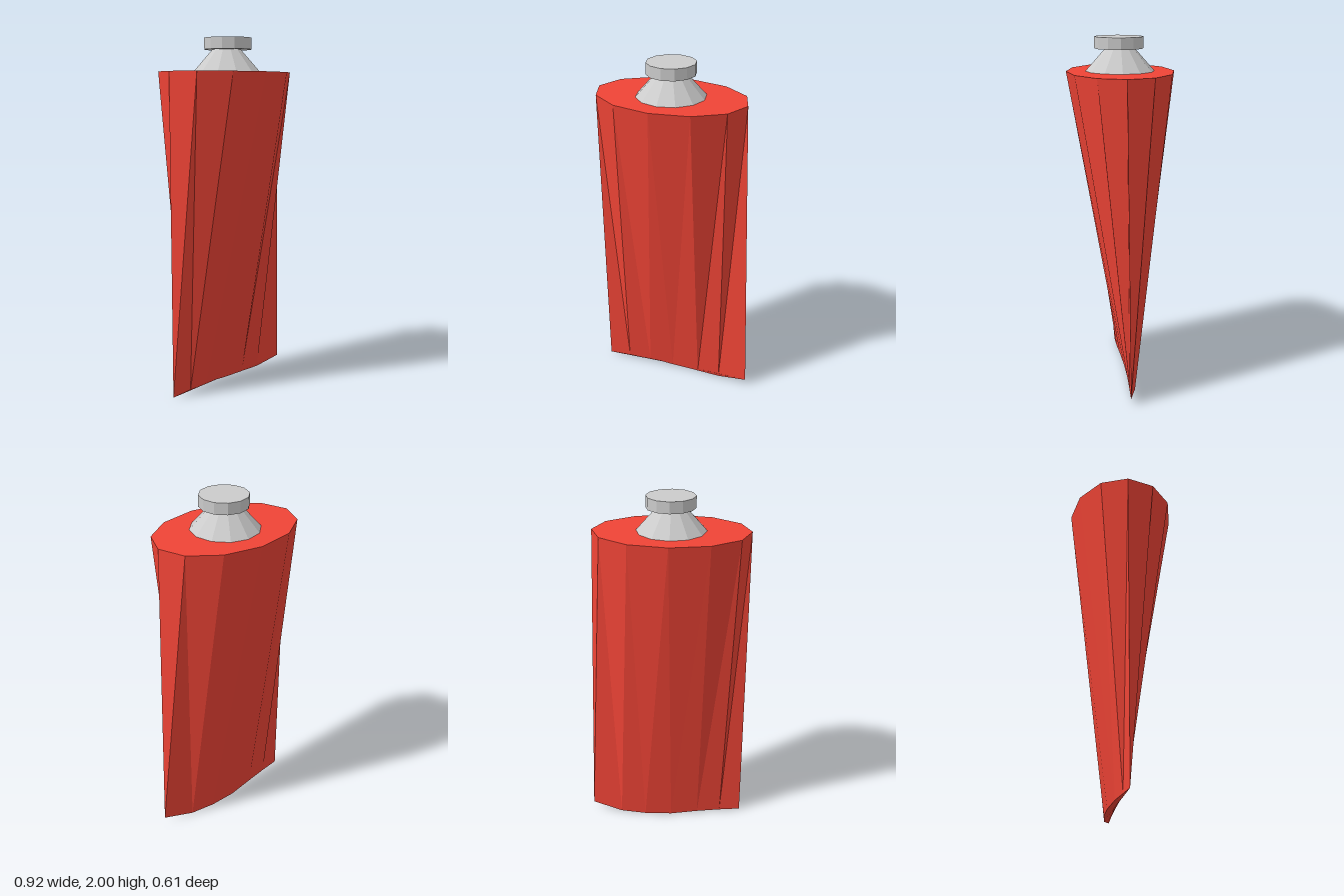
import * as THREE from 'three';

const CX = -0.025; // axis of the tube
const TOP = 1.81; // height of the shoulder

// Closed flat-faced skin between two rings of points (rings run from +x towards +z)
function loft(bottom, top) {
  const pos = [];
  const tri = (...pts) => pts.forEach((p) => pos.push(p.x, p.y, p.z));
  const centre = (ring) => ring.reduce((s, p) => s.add(p), new THREE.Vector3()).divideScalar(ring.length);
  const cb = centre(bottom), ct = centre(top);
  top.forEach((t, i) => {
    const j = (i + 1) % top.length;
    tri(bottom[i], t, bottom[j]);
    tri(t, top[j], bottom[j]);
    tri(ct, top[j], t);
    tri(cb, bottom[i], bottom[j]);
  });
  const geometry = new THREE.BufferGeometry();
  geometry.setAttribute('position', new THREE.Float32BufferAttribute(pos, 3));
  geometry.computeVertexNormals();
  return geometry;
}

export function createModel() {
  const group = new THREE.Group();
  const red = new THREE.MeshStandardMaterial({ color: 0xf04436, flatShading: true, side: THREE.DoubleSide });
  const grey = new THREE.MeshStandardMaterial({ color: 0xcccccc, flatShading: true });

  const add = (name, geometry, material, x = 0, y = 0, z = 0) => {
    const mesh = new THREE.Mesh(geometry, material);
    mesh.name = name;
    mesh.position.set(x, y, z);
    group.add(mesh);
  };

  // Body: oval shoulder flattened into a thin, slightly wavy crimp
  const shoulder = Array.from({ length: 12 }, (_, i) => {
    const a = (i * Math.PI) / 6;
    return new THREE.Vector3(CX + 0.437 * Math.cos(a), TOP, 0.304 * Math.sin(a));
  });
  const crimp = [
    // front edge, from +x to -x
    [0.46, 0.035, -0.02], [0.28, 0.004, -0.03], [0.14, 0.004, -0.03], [-0.03, 0.006, -0.025],
    [-0.18, 0.022, -0.01], [-0.32, 0.014, 0], [-0.455, 0.003, 0.003],
    // back edge, returning
    [-0.33, 0.006, -0.018], [-0.19, 0.008, -0.045], [-0.03, 0, -0.07], [0.13, 0, -0.075], [0.28, 0.003, -0.06],
  ].map((p) => new THREE.Vector3(...p));
  add('tubeBody', loft(crimp, shoulder), red);

  // Conical neck and screw cap
  add('neck', new THREE.CylinderGeometry(0.078, 0.194, 0.13, 12), grey, CX, TOP + 0.065, 0.002);
  add('cap', new THREE.CylinderGeometry(0.137, 0.137, 0.065, 12), grey, -0.021, 1.9675, 0.008);

  return group;
}
